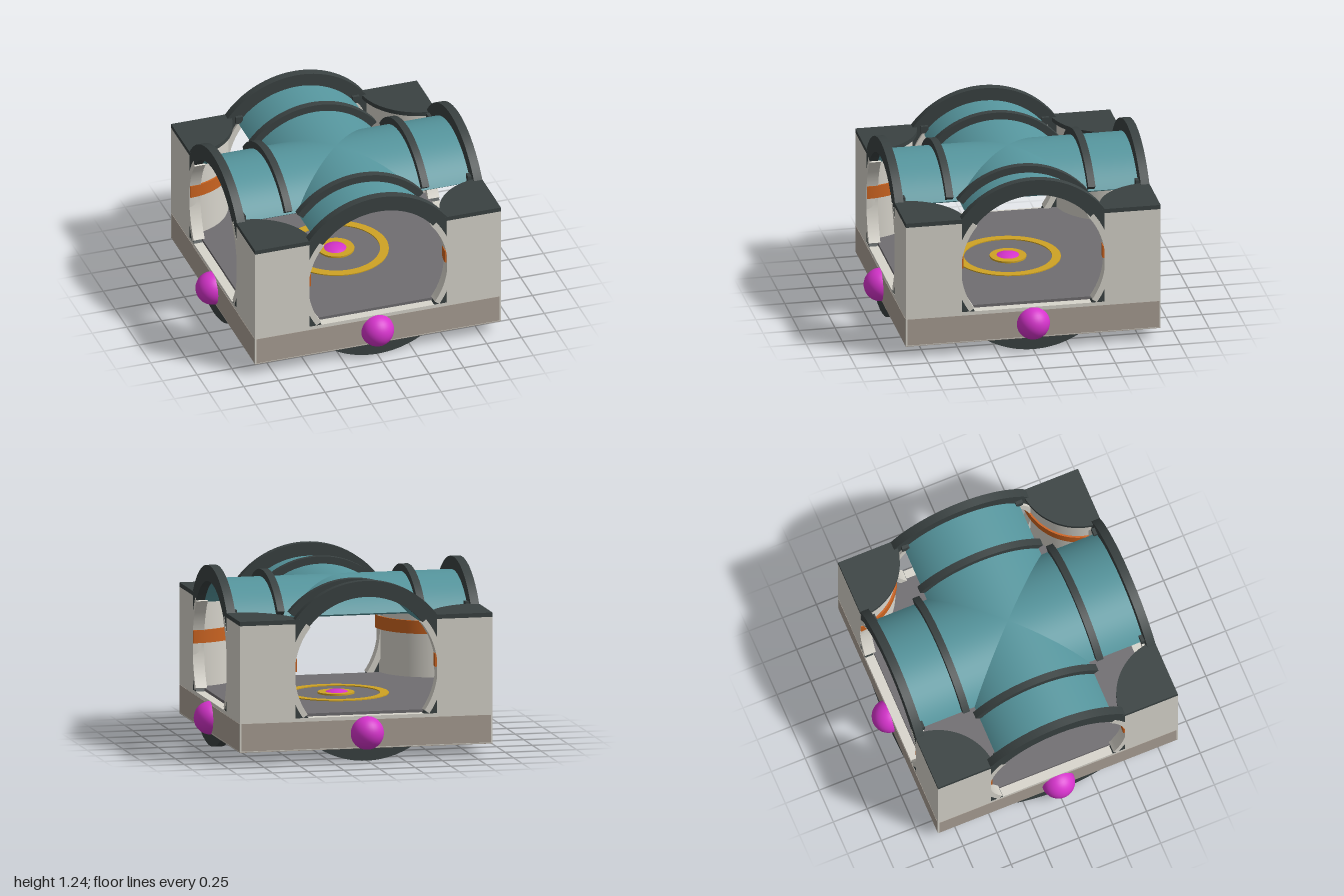
import * as THREE from 'three';
import { toCreasedNormals } from 'three/addons/utils/BufferGeometryUtils.js';

const mat = (name, color) => {
  const m = new THREE.MeshStandardMaterial({ color });
  m.name = name;
  return m;
};

const HALF = 0.885;   // half width of the module
const AXIS = 0.62;    // height of the tunnel axis

// Extrude a shape along z with smooth curves and sharp edges
function extrude(shape, depth, curveSegments) {
  const g = new THREE.ExtrudeGeometry(shape, { depth, bevelEnabled: false, curveSegments });
  return toCreasedNormals(g, 0.5);
}

// Ring sector in the xy plane
function sector(r0, r1, a0, a1, depth) {
  const s = new THREE.Shape();
  s.absarc(0, 0, r1, a0, a1, false);
  s.absarc(0, 0, r0, a1, a0, true);
  s.closePath();
  return extrude(s, depth, 40);
}

// Full ring
function ring(r0, r1, depth) {
  const s = new THREE.Shape();
  s.absarc(0, 0, r1, 0, Math.PI * 2, false);
  const h = new THREE.Path();
  h.absarc(0, 0, r0, 0, Math.PI * 2, true);
  s.holes.push(h);
  return extrude(s, depth, 64);
}

// Arch around the tunnel axis, cut off at a given height
function arch(r0, r1, bottom, depth) {
  const a = Math.asin((bottom - AXIS) / r1);
  return sector(r0, r1, a, Math.PI - a, depth);
}

// Upright quarter disc with its point at the origin, reaching to -x and -z
function quarter(r, h) {
  const s = new THREE.Shape();
  s.moveTo(0, 0);
  s.lineTo(0, r);
  s.absarc(0, 0, r, Math.PI / 2, Math.PI, false);
  s.lineTo(0, 0);
  return extrude(s, h, 24).rotateX(-Math.PI / 2);
}

export function createModel() {
  const white = mat('offWhite', 0xd8d5cc);
  const brown = mat('warmGrey', 0xaaa095);
  const dark = mat('charcoal', 0x3a4242);
  const grey = mat('floorGrey', 0x706e71);
  const teal = mat('teal', 0x56969e);
  const gold = mat('gold', 0xcfa324);
  const orange = mat('orange', 0xcc6420);
  const magenta = mat('magenta', 0xd633cc);

  const model = new THREE.Group();
  model.name = 'tunnelJunction';
  const body = new THREE.Group();
  body.name = 'body';
  body.position.x = 0.006;
  model.add(body);

  const add = (parent, name, geo, material, x = 0, y = 0, z = 0) => {
    const m = new THREE.Mesh(geo, material);
    m.name = name;
    m.position.set(x, y, z);
    parent.add(m);
    return m;
  };
  const box = (w, h, d) => new THREE.BoxGeometry(w, h, d);

  // Base slab, underside sheet and floor
  add(body, 'baseSlab', box(HALF * 2, 0.22, HALF * 2), white, 0, 0.2, 0);
  add(body, 'underside', box(HALF * 2, 0.004, HALF * 2), brown, 0, 0.088, 0);
  add(body, 'floor', box(1.64, 0.02, 1.64), grey, 0, 0.32, 0);

  // Floor markings
  const flatRing = (r0, r1, h) => ring(r0, r1, h).rotateX(-Math.PI / 2);
  add(body, 'floorRing', flatRing(0.3, 0.36, 0.007), gold, 0, 0.33, 0);
  add(body, 'hubRing', flatRing(0.07, 0.125, 0.012), gold, 0, 0.33, 0);

  // Centre ball and one connector ball on each side
  add(model, 'centreBall', new THREE.SphereGeometry(0.173, 32, 20), magenta, 0, 0.187, 0);
  const ballGeo = new THREE.SphereGeometry(0.115, 32, 20);
  for (const [x, z] of [[1, 0], [-1, 0], [0, 1], [0, -1]]) {
    add(model, 'connectorBall', ballGeo, magenta, x * HALF, 0.192, z * HALF);
  }

  // Two crossing roof vaults
  const vaultGeo = arch(0.51, 0.53, 0.94, 1.65).translate(0, 0, -0.825);
  for (let i = 0; i < 2; i++) {
    add(body, 'roofVault', vaultGeo, teal, 0, AXIS, 0).rotation.y = i * Math.PI / 2;
  }

  // Geometries shared by the four sides
  const portalGeo = ring(0.51, 0.62, 0.06);
  const liningGeo = sector(0.5, 0.54, Math.asin(-0.31 / 0.54), Math.asin(0.34 / 0.54), 0.08)
    .translate(0, 0, -0.04);
  const ribGeo = arch(0.525, 0.58, 0.982, 0.05);
  const skirtGeo = box(1.75, 0.19, 0.004);
  const clipGeo = box(0.05, 0.05, 0.03);
  const pillarGeo = quarter(0.39, 0.87);
  const bandGeo = quarter(0.4, 0.09);
  const capGeo = quarter(0.42, 0.03);

  for (let i = 0; i < 4; i++) {
    const side = new THREE.Group();
    side.name = 'side';
    side.rotation.y = i * Math.PI / 2;
    body.add(side);

    add(side, 'portalRing', portalGeo, dark, 0, AXIS, HALF - 0.061);
    add(side, 'roofRib', ribGeo, dark, 0, AXIS, 0.468);
    add(side, 'skirtPanel', skirtGeo, brown, 0, 0.19, HALF);

    // Lining on both sides of the opening, and vault clips
    for (const s of [1, -1]) {
      const lining = add(side, 'portalLining', liningGeo, white, 0, AXIS, HALF - 0.04);
      lining.rotation.y = s > 0 ? 0 : Math.PI;
      add(side, 'vaultClip', clipGeo, dark, s * 0.42, 0.975, 0.815);
    }

    // Corner pillar with painted band and cap
    add(side, 'pillar', pillarGeo, white, HALF, 0.09, HALF);
    add(side, 'pillarBand', bandGeo, orange, HALF - 0.002, 0.63, HALF - 0.002);
    add(side, 'cornerCap', capGeo, dark, HALF, 0.96, HALF);
  }
  return model;
}
